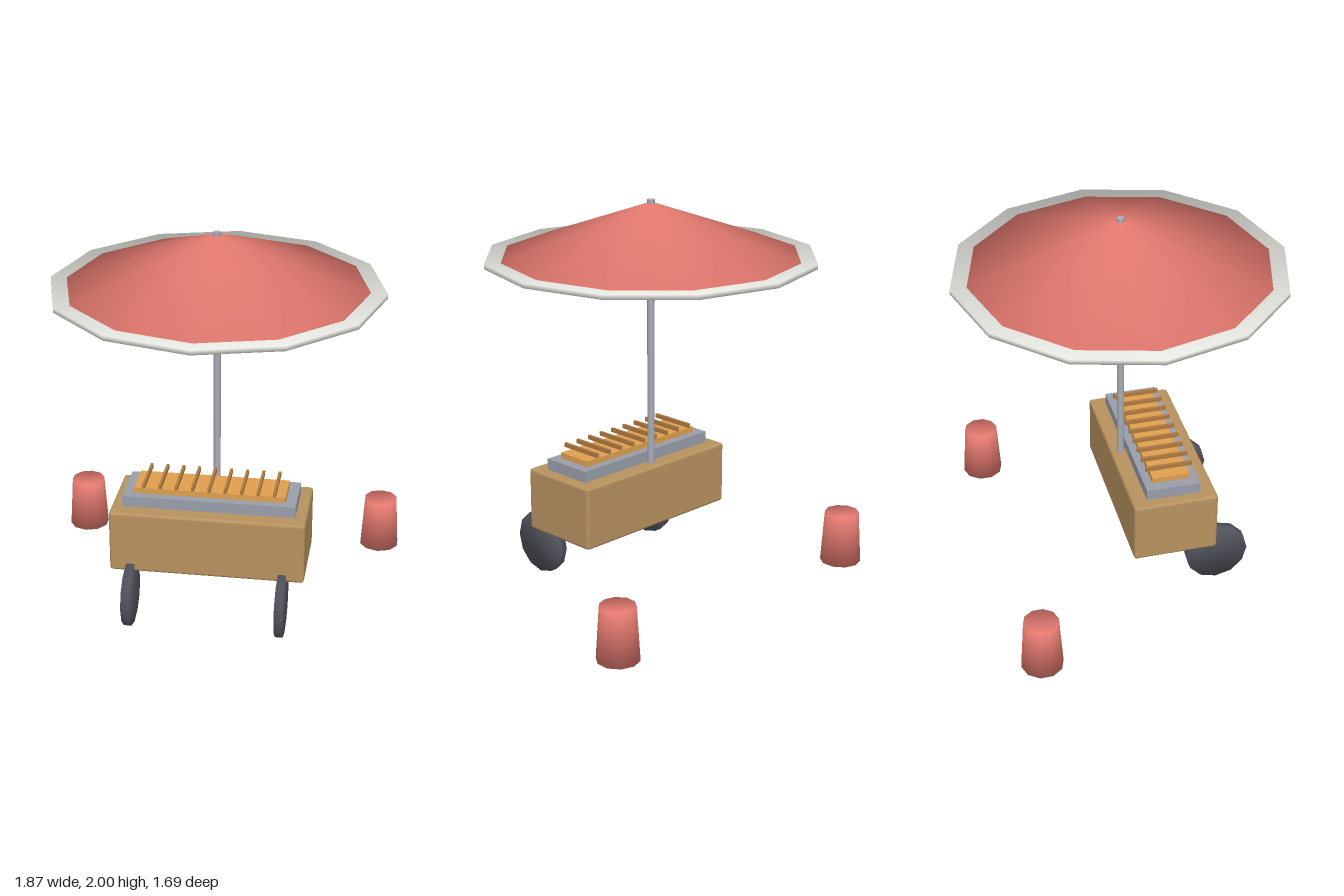
import * as THREE from 'three';
import { RoundedBoxGeometry } from 'three/addons/geometries/RoundedBoxGeometry.js';

const mat = (color) => new THREE.MeshStandardMaterial({ color });
const RED = mat(0xe57a70), CREAM = mat(0xe8e8e2), STEEL = mat(0xa9adb8), WOOD = mat(0xb8925f),
  TRAY = mat(0x9a9eaa), BED = mat(0xe0a050), STICK = mat(0xb07a40), RUBBER = mat(0x555560);

// Closed low-poly drum whose normals run smoothly from the sides over the caps
function softDrum(rTop, rBottom, height, sides) {
  const pos = [], nor = [], idx = [];
  const slope = Math.atan2(rBottom - rTop, height);
  for (const end of [1, -1]) {
    const r = end > 0 ? rTop : rBottom;
    for (let i = 0; i < sides; i++) {
      const a = (i / sides) * Math.PI * 2, s = Math.sin(a), c = Math.cos(a);
      pos.push(s * r, end * height / 2, c * r);
      const out = Math.cos(slope);
      const n = new THREE.Vector3(s * out, Math.sin(slope) + end * 0.83, c * out).normalize();
      nor.push(n.x, n.y, n.z);
    }
  }
  for (let i = 0; i < sides; i++) {
    const j = (i + 1) % sides;
    idx.push(i, i + sides, j, i + sides, j + sides, j);
    if (i > 0 && i < sides - 1) {
      idx.push(0, i, i + 1);
      idx.push(sides, sides + i + 1, sides + i);
    }
  }
  const geo = new THREE.BufferGeometry();
  geo.setAttribute('position', new THREE.Float32BufferAttribute(pos, 3));
  geo.setAttribute('normal', new THREE.Float32BufferAttribute(nor, 3));
  geo.setIndex(idx);
  return geo;
}

export function createModel() {
  const model = new THREE.Group();
  model.name = 'grillCart';
  const add = (name, geo, material, x, y, z) => {
    const mesh = new THREE.Mesh(geo, material);
    mesh.name = name;
    mesh.position.set(x, y, z);
    model.add(mesh);
    return mesh;
  };

  // Cart body with softened edges
  add('cartBody', new RoundedBoxGeometry(1.0, 0.33, 0.44, 2, 0.015), WOOD, 0, 0.447, 0.168);

  // Grill tray, glowing bed and the row of skewers above it
  add('grillTray', new THREE.BoxGeometry(0.886, 0.06, 0.28), TRAY, 0, 0.641, 0.167);
  add('grillBed', new THREE.BoxGeometry(0.776, 0.03, 0.194), BED, 0, 0.686, 0.167);
  for (let i = 0; i < 9; i++) {
    add('skewer', new THREE.BoxGeometry(0.014, 0.022, 0.245), STICK, (i - 4) * 0.0835, 0.725, 0.168);
  }

  // Front wheels and the cups standing behind, mirrored left and right
  const wheel = softDrum(0.165, 0.165, 0.04, 12).rotateZ(Math.PI / 2);
  const cup = softDrum(0.09, 0.108, 0.28, 10);
  for (const side of [1, -1]) {
    const prefix = side > 0 ? 'left' : 'right';
    add(prefix + 'Wheel', wheel, RUBBER, side * 0.39, 0.168, 0.418);
    add(prefix + 'Cup', cup, RED, side * 0.832, 0.14, -0.612);
  }

  // Umbrella: pole, rim disc and canopy
  add('pole', new THREE.CylinderGeometry(0.019, 0.019, 1.41, 8), STEEL, 0, 1.295, 0);
  add('umbrellaRim', softDrum(0.843, 0.843, 0.025, 12), CREAM, 0, 1.709, 0);
  add('canopy', softDrum(0.025, 0.765, 0.26, 12), RED, 0, 1.85, 0);

  return model;
}
